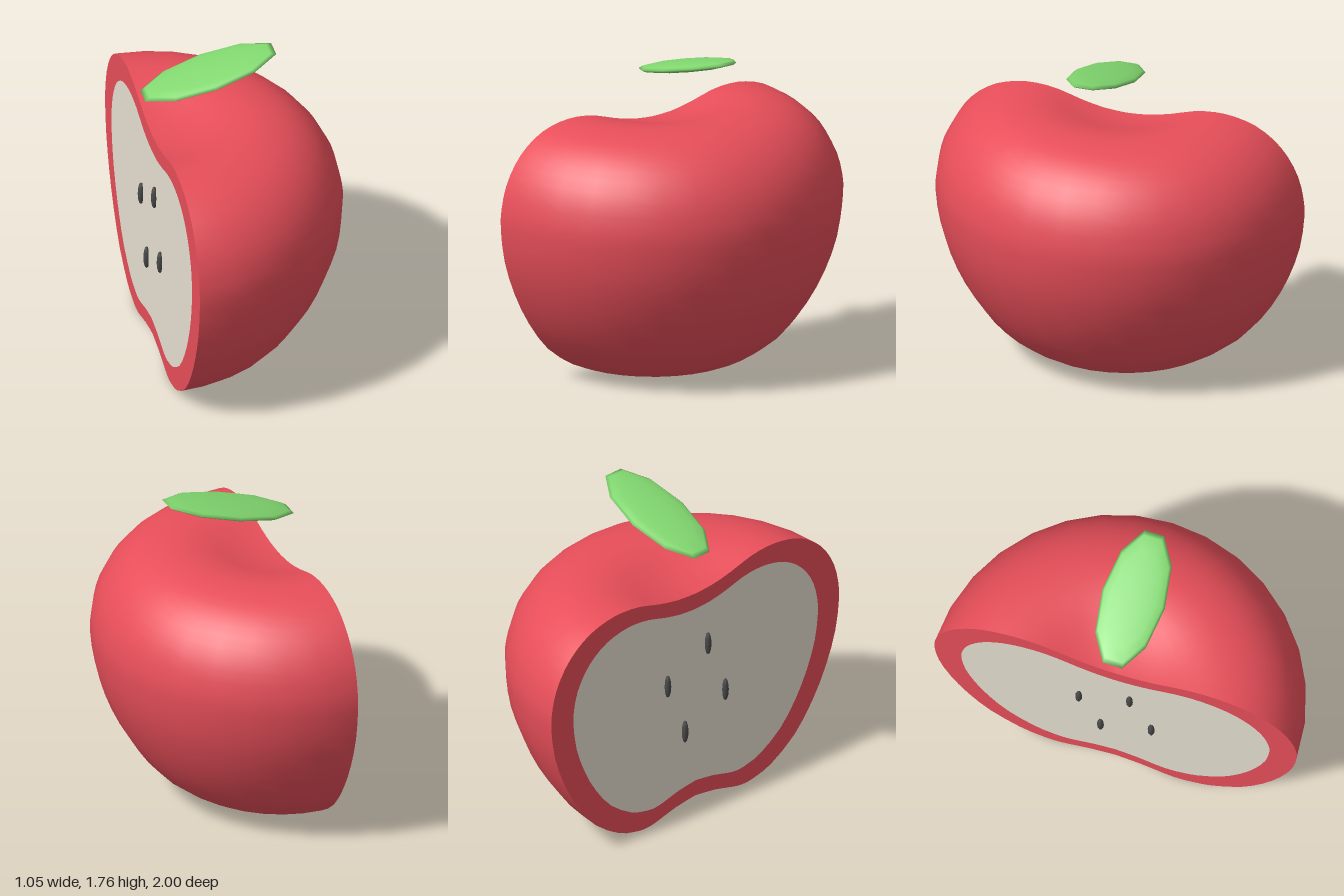
import * as THREE from 'three';

const CUT_X = -0.475;

const material = (name, color, side = THREE.FrontSide) => {
  const m = new THREE.MeshStandardMaterial({ color, side });
  m.name = name;
  return m;
};

export function createModel() {
  const skinRed = material('skin red', 0xfc5662, THREE.DoubleSide);
  const fleshCream = material('flesh cream', 0xfff8e7);
  const seedBlack = material('seed black', 0x4a4a4a);
  const leafGreen = material('leaf green', 0x82d870);

  const group = new THREE.Group();
  const add = (name, geometry, mat, x, y, z) => {
    const mesh = new THREE.Mesh(geometry, mat);
    mesh.name = name;
    mesh.position.set(x, y, z);
    group.add(mesh);
    return mesh;
  };

  // Half profile, bottom dimple up to top dimple
  const profile = new THREE.SplineCurve([
    [0, 0.065], [0.14, 0.045], [0.27, 0.01], [0.35, 0.0], [0.43, 0.013],
    [0.53, 0.047], [0.69, 0.16], [0.815, 0.32], [0.91, 0.5], [0.975, 0.69],
    [1.0, 0.87], [0.995, 0.98], [0.965, 1.1], [0.905, 1.21], [0.825, 1.295],
    [0.725, 1.357], [0.61, 1.39], [0.5, 1.398], [0.38, 1.383], [0.25, 1.345], [0.12, 1.318], [0, 1.31],
  ].map(([r, y]) => new THREE.Vector2(r, y))).getPoints(42);
  profile.forEach((p) => { p.x = Math.max(0, p.x); p.y = Math.max(0, p.y); });

  // Half-turned skin
  add('skin', new THREE.LatheGeometry(profile, 16, 0, Math.PI), skinRed, CUT_X, 0, 0);

  // Flat cut faces: full outline in red, smaller one in cream on top
  const cutFace = (scale) => {
    const place = (p, sign) => new THREE.Vector2(sign * p.x * scale, 0.7 + (p.y - 0.7) * scale);
    const outline = [
      ...profile.map((p) => place(p, 1)),
      ...profile.slice(1, -1).reverse().map((p) => place(p, -1)),
    ];
    return new THREE.ShapeGeometry(new THREE.Shape(outline)).rotateY(-Math.PI / 2);
  };
  add('cutRim', cutFace(1), skinRed, CUT_X, 0, 0);
  add('flesh', cutFace(0.85), fleshCream, CUT_X - 0.004, 0, 0);

  // Seeds on the cut face
  const seed = new THREE.SphereGeometry(1, 8, 6).scale(0.018, 0.068, 0.019);
  [[0.977, 0.08], [0.823, -0.2], [0.645, 0.2], [0.497, -0.08]].forEach(([y, z], i) => {
    add(`seed${i + 1}`, seed, seedBlack, CUT_X - 0.011, y, z);
  });

  // Flattened leaf tilted above the top
  const leaf = new THREE.SphereGeometry(1, 10, 8).rotateY(Math.PI / 2).scale(0.385, 0.03, 0.173);
  add('leaf', leaf, leafGreen, -0.173, 1.662, 0).rotation.z = 0.25;

  return group;
}
